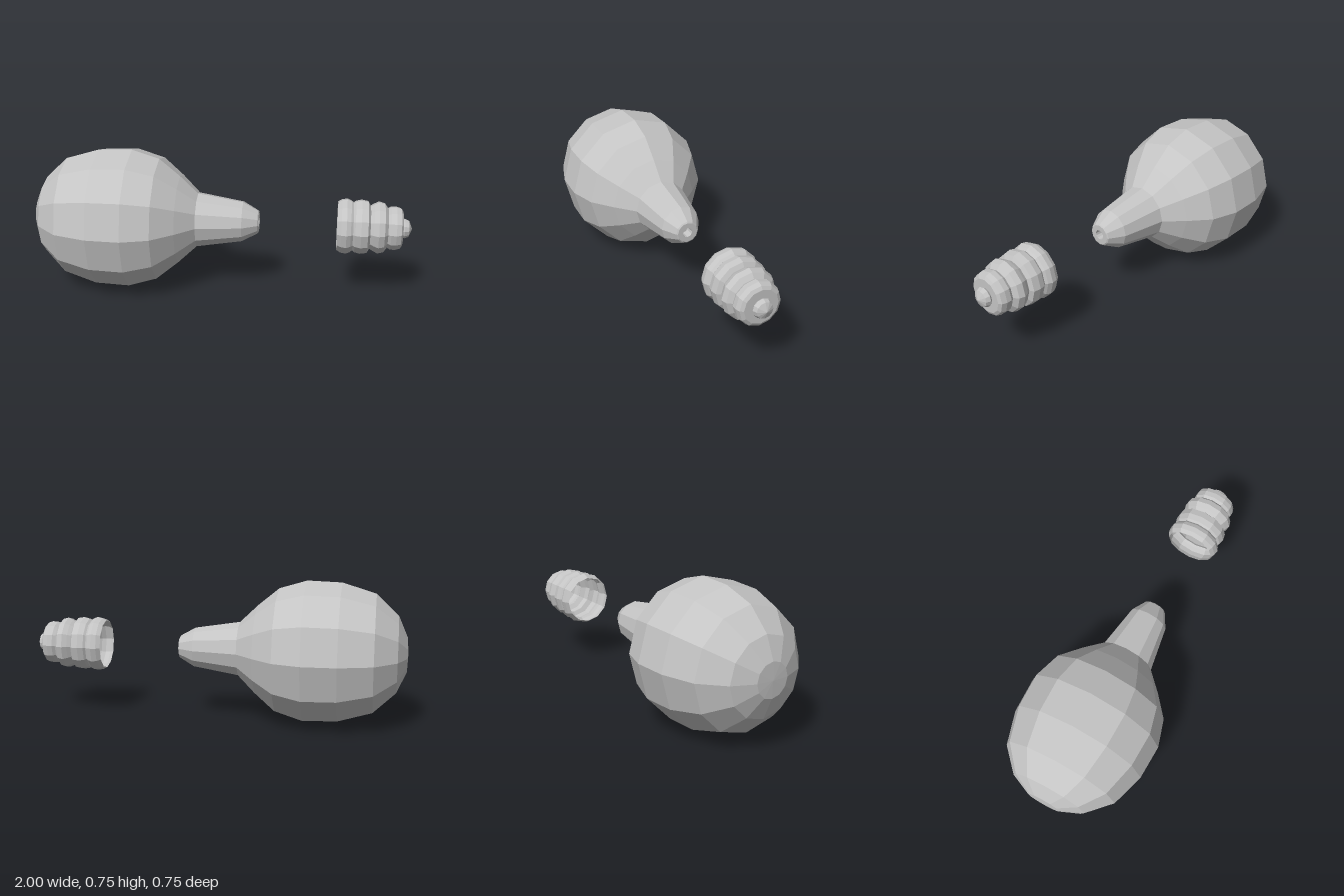
import * as THREE from 'three';

const SIDES = 12;
const AXIS_HEIGHT = 0.374;

export function createModel() {
  const model = new THREE.Group();
  model.name = 'lightBulb';

  const grey = new THREE.MeshStandardMaterial({
    color: 0xc4c4c4, flatShading: true, side: THREE.DoubleSide,
  });
  grey.name = 'grey';

  // Faceted solid of revolution lying along x; the profile is a list of [x, radius]
  function turned(name, profile) {
    const points = profile.map(([x, r]) => new THREE.Vector2(r, x));
    const geometry = new THREE.LatheGeometry(points, SIDES);
    geometry.rotateZ(-Math.PI / 2);
    geometry.translate(0, AXIS_HEIGHT, 0);
    const mesh = new THREE.Mesh(geometry, grey);
    mesh.name = name;
    model.add(mesh);
  }

  // Rounded bulb, flared into the neck
  turned('bulb', [
    [-1, 0], [-0.995, 0.09], [-0.945, 0.205], [-0.83, 0.315], [-0.655, 0.368],
    [-0.475, 0.374], [-0.33, 0.33], [-0.22, 0.238], [-0.125, 0.146],
  ]);

  // Tapered neck with a small bore in its tip
  turned('neck', [
    [-0.125, 0.146], [0.115, 0.107], [0.195, 0.062], [0.2, 0.055],
    [0.2, 0.026], [0.15, 0.024], [0.15, 0],
  ]);

  // Open threaded shell, set apart from the neck
  turned('threadedBase', [
    [0.612, 0.13], [0.633, 0.142], [0.66, 0.147], [0.682, 0.138], [0.694, 0.128],
    [0.705, 0.137], [0.735, 0.144], [0.77, 0.138], [0.782, 0.115],
    [0.8, 0.126], [0.825, 0.138], [0.855, 0.13], [0.873, 0.105],
    [0.888, 0.114], [0.915, 0.115], [0.94, 0.107], [0.95, 0.09], [0.95, 0.045],
  ]);

  // End contact
  turned('contactTip', [[0.95, 0.045], [0.96, 0.052], [0.982, 0.043], [1, 0]]);

  return model;
}
